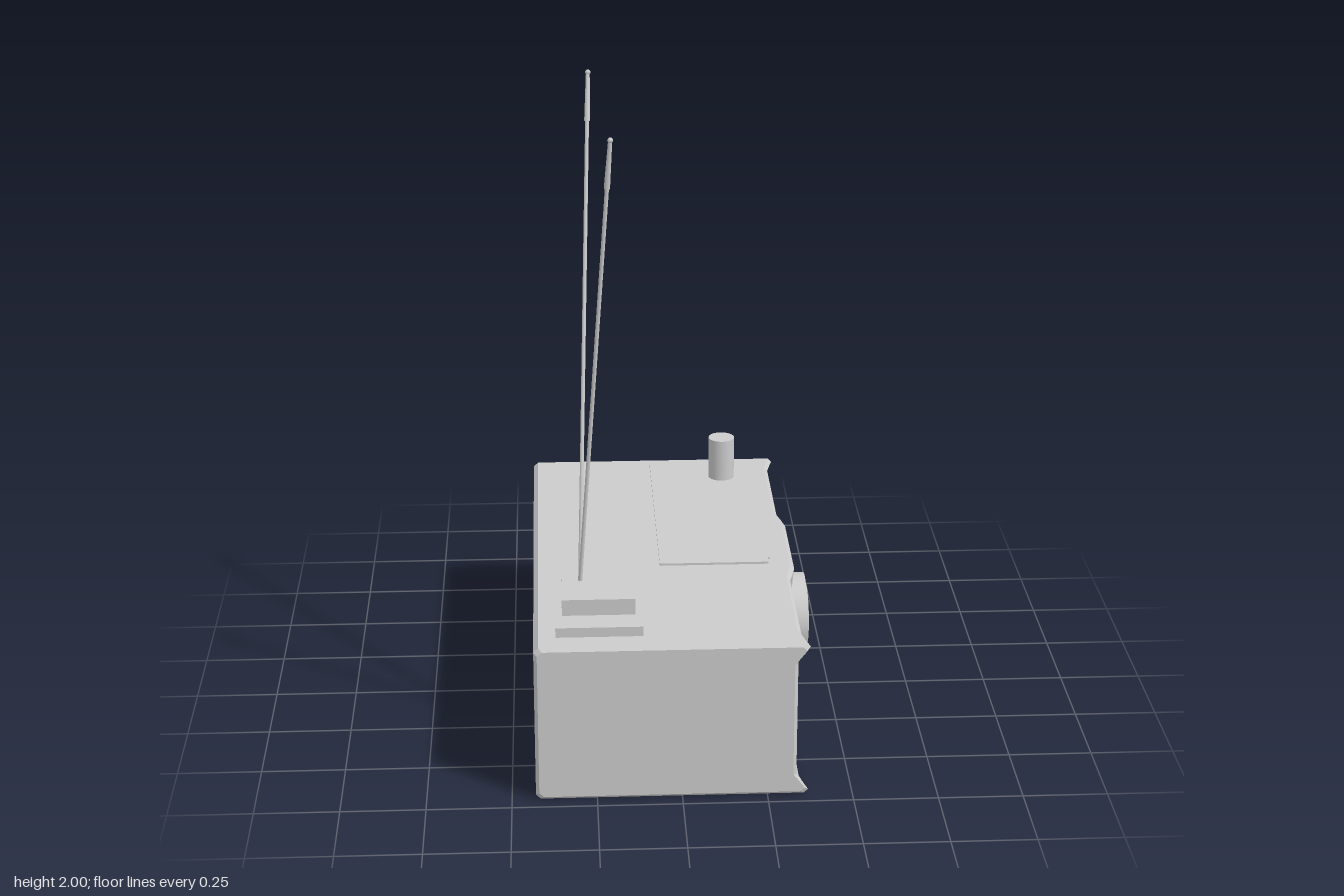
import * as THREE from 'three';

const grey = new THREE.MeshStandardMaterial({ color: 0xcccccc });
const flat = new THREE.MeshStandardMaterial({ color: 0xcccccc, flatShading: true });
const MID = 0.245; // half the cabinet height

function add(group, name, geometry, x = 0, y = 0, z = 0, material = grey) {
  const mesh = new THREE.Mesh(geometry, material);
  mesh.name = name;
  mesh.position.set(x, y, z);
  group.add(mesh);
  return mesh;
}

// Cabinet: cross-sections (x, y) swept along z, with a sculpted speaker front
function cabinetGeometry() {
  // z, x of the rim, x of the recessed face, height of the slope
  const stations = [
    [0.70, 0.37, 0.335, 0.06], [0.655, 0.358, 0.30, 0.08], [0.62, 0.35, 0.30, 0.12],
    [0.25, 0.35, 0.30, 0.13], [0.21, 0.36, 0.31, 0.13], [0.16, 0.37, 0.36, 0.13],
    [-0.16, 0.37, 0.36, 0.13], [-0.21, 0.36, 0.31, 0.13], [-0.25, 0.35, 0.30, 0.13],
    [-0.62, 0.35, 0.30, 0.12], [-0.655, 0.358, 0.30, 0.08], [-0.70, 0.37, 0.335, 0.06],
  ];
  const section = ([z, rim, face, slope], inset = 0) => {
    const lower = [[-0.43, 0.014], [-0.416, 0], [rim - 0.012, 0], [rim, 0.012], [face, slope]];
    const upper = lower.map(([x, y]) => [x, 2 * MID - y]).reverse();
    return [...lower, ...upper].map(([x, y]) => [
      x > 0 ? x - inset : x + inset,
      MID + (y - MID) * (1 - inset / MID),
      z,
    ]);
  };
  const first = stations[0], last = stations[stations.length - 1];
  const rings = [
    section([0.71, ...first.slice(1)], 0.01),
    ...stations.map((s) => section(s)),
    section([-0.71, ...last.slice(1)], 0.01),
  ];
  const n = rings[0].length;
  const points = rings.flat();
  const index = [];
  for (let r = 0; r < rings.length - 1; r++) {
    for (let i = 0; i < n; i++) {
      const a = r * n + i, b = r * n + (i + 1) % n;
      index.push(a, a + n, b, b, a + n, b + n);
    }
  }
  // End caps
  const front = points.push([-0.03, MID, 0.71]) - 1;
  const back = points.push([-0.03, MID, -0.71]) - 1;
  const base = (rings.length - 1) * n;
  for (let i = 0; i < n; i++) {
    const j = (i + 1) % n;
    index.push(front, i, j, back, base + j, base + i);
  }
  const geometry = new THREE.BufferGeometry();
  geometry.setAttribute('position', new THREE.Float32BufferAttribute(points.flat(), 3));
  geometry.setIndex(index);
  const faceted = geometry.toNonIndexed();
  faceted.computeVertexNormals();
  return faceted;
}

// Speaker facing +x: housing, rounded surround and sunken cone
function speaker(name, radius, depth, x, z) {
  const group = new THREE.Group();
  group.name = name;
  group.position.set(x, MID, z);
  group.rotation.z = -Math.PI / 2;
  const r = radius;
  const wall = new THREE.CylinderGeometry(r, r, depth, 48, 1, true);
  add(group, 'speakerHousing', wall, 0, -depth / 2);
  const lip = new THREE.RingGeometry(r * 0.8, r, 48).rotateX(-Math.PI / 2);
  add(group, 'speakerLip', lip);
  const surround = new THREE.TorusGeometry(r * 0.74, r * 0.09, 12, 48).rotateX(Math.PI / 2);
  add(group, 'speakerSurround', surround, 0, -r * 0.04);
  const cone = [[0, -0.13], [0.6, -0.13], [0.62, -0.12], [0.7, -0.04]]
    .map(([px, py]) => new THREE.Vector2(px * r, py * r));
  add(group, 'speakerCone', new THREE.LatheGeometry(cone.reverse(), 48), 0, 0, 0,
    new THREE.MeshStandardMaterial({ color: 0xcccccc, side: THREE.DoubleSide }));
  return group;
}

// Telescopic antenna: thin rod, thicker tip section and a small end ball
function antenna(name, from, to) {
  const group = new THREE.Group();
  group.name = name;
  const direction = to.clone().sub(from);
  const length = direction.length();
  group.position.copy(from);
  group.quaternion.setFromUnitVectors(new THREE.Vector3(0, 1, 0), direction.normalize());
  const rod = length - 0.15;
  add(group, 'antennaRod', new THREE.CylinderGeometry(0.006, 0.006, rod, 10), 0, rod / 2);
  add(group, 'antennaTip', new THREE.CylinderGeometry(0.006, 0.009, 0.14, 10), 0, rod + 0.07);
  add(group, 'antennaBall', new THREE.SphereGeometry(0.008, 10, 8), 0, length - 0.008);
  return group;
}

export function createModel() {
  const model = new THREE.Group();
  model.name = 'radio';
  add(model, 'cabinet', cabinetGeometry(), 0, 0, 0, flat);

  // Three speakers on the +x side
  model.add(speaker('largeSpeakerA', 0.2, 0.06, 0.335, 0.455));
  model.add(speaker('largeSpeakerB', 0.2, 0.06, 0.335, -0.435));
  model.add(speaker('centreSpeaker', 0.13, 0.08, 0.42, -0.005));

  // Top lid with its latch, and the knob
  add(model, 'topPanel', new THREE.BoxGeometry(0.335, 0.012, 0.8), 0.125, 0.491, -0.25);
  add(model, 'panelLatch', new THREE.BoxGeometry(0.006, 0.008, 0.03), 0.294, 0.492, 0.1);
  add(model, 'knob', new THREE.CylinderGeometry(0.042, 0.042, 0.15, 32), 0.19, 0.56, -0.54);

  // Stepped antenna base and the pair of antennas
  add(model, 'antennaBaseLower', new THREE.BoxGeometry(0.255, 0.04, 0.37), -0.238, 0.5, 0.45);
  add(model, 'antennaBaseUpper', new THREE.BoxGeometry(0.215, 0.055, 0.255), -0.238, 0.5425, 0.425);
  const foot = new THREE.Vector3(-0.29, 0.56, 0.415);
  model.add(antenna('longAntenna', foot, new THREE.Vector3(-0.243, 2, -0.05)));
  model.add(antenna('shortAntenna', foot, new THREE.Vector3(-0.193, 1.965, 0.577)));
  return model;
}
